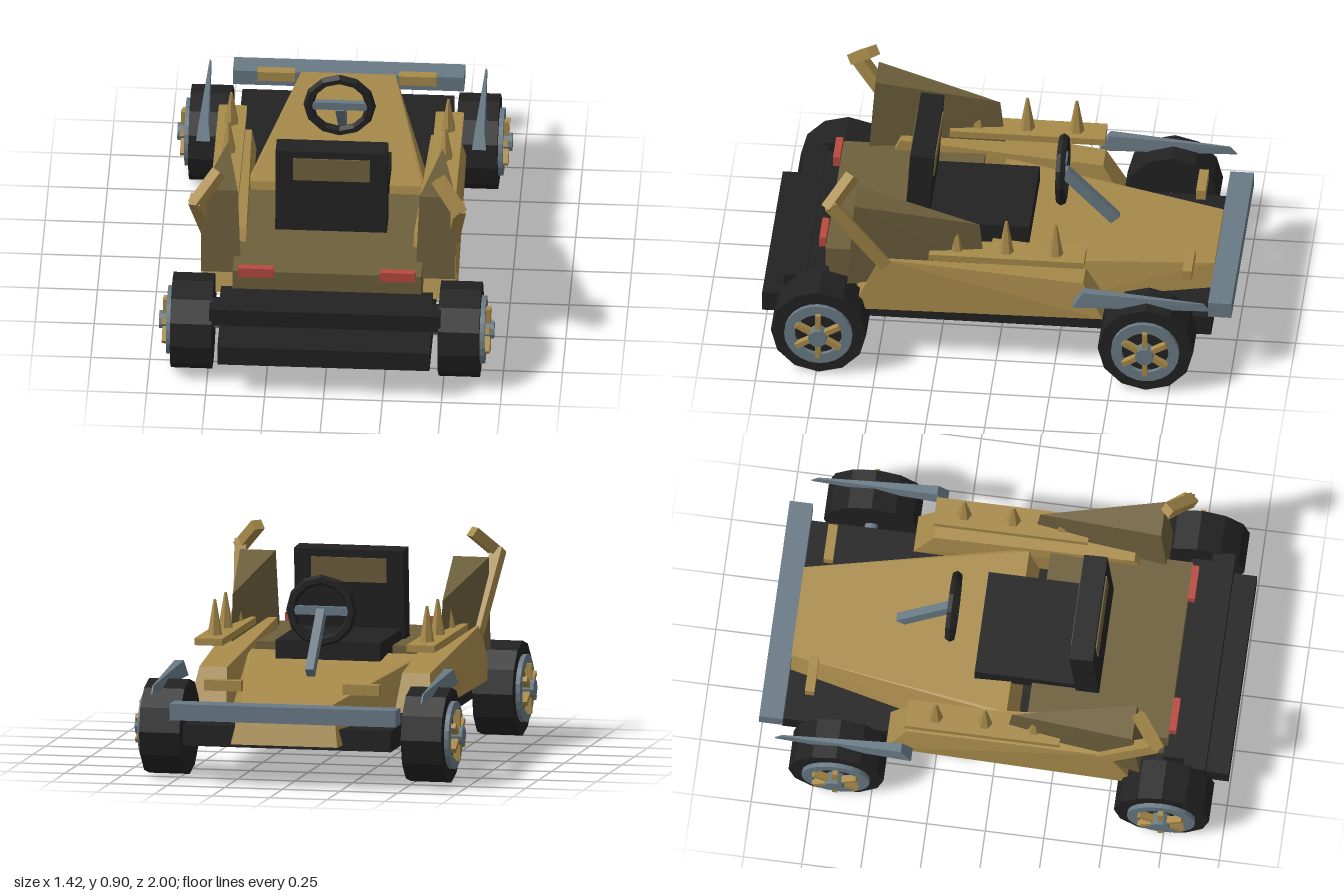
import * as THREE from 'three';
import { ConvexGeometry } from 'three/addons/geometries/ConvexGeometry.js';

function mat(name, color) {
  const m = new THREE.MeshStandardMaterial({ color, flatShading: true });
  m.name = name;
  return m;
}

export function createModel() {
  const gold = mat('gold', 0xa88b4b);
  const darkGold = mat('dark gold', 0x6e603d);
  const black = mat('black', 0x222222);
  const steel = mat('steel', 0x697a85);
  const red = mat('red', 0xb84a40);

  const kart = new THREE.Group();
  kart.name = 'kart';

  const add = (name, geo, material, parent = kart) => {
    const mesh = new THREE.Mesh(geo, material);
    mesh.name = name;
    parent.add(mesh);
    return mesh;
  };
  // Box given by its limits on each axis
  const box = (name, material, [x0, x1], [y0, y1], [z0, z1], parent) => {
    const mesh = add(name, new THREE.BoxGeometry(x1 - x0, y1 - y0, z1 - z0), material, parent);
    mesh.position.set((x0 + x1) / 2, (y0 + y1) / 2, (z0 + z1) / 2);
    return mesh;
  };
  // Box on both sides
  const boxPair = (name, material, [x0, x1], y, z) => {
    box(name, material, [x0, x1], y, z);
    box(name, material, [-x1, -x0], y, z);
  };
  // Faceted solid from its corners
  const solid = (name, material, points, side = 1) =>
    add(name, new ConvexGeometry(points.map(([x, y, z]) => new THREE.Vector3(x * side, y, z))), material);
  // Straight bar between two points
  const bar = (name, material, a, b, w, h, side = 1) => {
    const p = new THREE.Vector3(a[0] * side, a[1], a[2]);
    const q = new THREE.Vector3(b[0] * side, b[1], b[2]);
    const mesh = add(name, new THREE.BoxGeometry(w, h, p.distanceTo(q)), material);
    mesh.position.copy(p).lerp(q, 0.5);
    mesh.lookAt(q);
    return mesh;
  };

  // Chassis, bumpers and rear deck
  box('chassis', black, [-0.45, 0.45], [0.16, 0.25], [-0.91, 1]);
  box('rearBumper', black, [-0.49, 0.49], [0.295, 0.375], [0.81, 0.905]);
  box('rearBumperMount', black, [-0.45, 0.45], [0.25, 0.37], [0.72, 0.82]);
  box('frontBumper', steel, [-0.49, 0.49], [0.28, 0.35], [-1, -0.9]);
  box('rearDeck', darkGold, [-0.4, 0.4], [0.27, 0.46], [0.13, 0.735]);
  boxPair('tailLight', red, [0.225, 0.375], [0.45, 0.495], [0.735, 0.765]);
  boxPair('headLight', gold, [0.22, 0.38], [0.385, 0.43], [-0.82, -0.78]);

  // Hood with a sloped nose
  const hood = [];
  for (const s of [-1, 1]) {
    hood.push([0.2 * s, 0.355, -0.9], [0.23 * s, 0.18, -0.965], [0.24 * s, 0.18, -0.9],
      [0.365 * s, 0.44, 0.04], [0.37 * s, 0.25, 0.085], [0.37 * s, 0.25, -0.3], [0.365 * s, 0.43, -0.03]);
  }
  solid('hood', gold, hood);

  for (const s of [1, -1]) {
    // Side pod
    solid('sidePod', gold, [
      [0.365, 0.26, -0.455], [0.525, 0.26, -0.455], [0.38, 0.42, -0.37], [0.5, 0.42, -0.37],
      [0.355, 0.26, 0.61], [0.545, 0.26, 0.61], [0.355, 0.51, 0.49], [0.53, 0.51, 0.49],
    ], s);
    // Wedge shaped rear fin
    solid('rearFin', darkGold, [
      [0.455, 0.665, 0.075], [0.385, 0.78, 0.6], [0.54, 0.78, 0.6],
      [0.455, 0.44, 0.05], [0.37, 0.38, 0.63], [0.54, 0.38, 0.63],
    ], s);
    // Bent horn
    bar('hornLower', gold, [0.515, 0.48, 0.47], [0.56, 0.8, 0.7], 0.05, 0.055, s);
    bar('hornUpper', gold, [0.565, 0.775, 0.71], [0.465, 0.885, 0.615], 0.05, 0.045, s);
    // Blade over the front wheel
    solid('fenderBlade', steel, [
      [0.555, 0.375, -0.335], [0.615, 0.375, -0.335], [0.565, 0.445, -0.38], [0.605, 0.445, -0.38],
      [0.582, 0.41, -0.89], [0.588, 0.41, -0.89], [0.582, 0.375, -0.92], [0.588, 0.375, -0.92],
    ], s);
    // Rail with spikes
    const [r0, r1] = s > 0 ? [0.4, 0.52] : [-0.52, -0.4];
    box('spikeRail', gold, [r0, r1], [0.51, 0.54], [-0.375, 0.285]);
    for (const [z, tip] of [[-0.25, 0.69], [-0.04, 0.69], [0.17, 0.645]]) {
      const spike = add('spike', new THREE.CylinderGeometry(0.006, 0.034, tip - 0.53, 6), gold);
      spike.position.set(0.46 * s, (tip + 0.53) / 2, z);
    }
  }

  // Seat with a panel through the backrest
  box('seatBase', black, [-0.227, 0.227], [0.42, 0.505], [-0.115, 0.34]);
  const backrest = new THREE.Group();
  backrest.name = 'backrest';
  backrest.position.set(0, 0.64, 0.355);
  backrest.rotation.x = -0.07;
  kart.add(backrest);
  box('seatBack', black, [-0.237, 0.237], [-0.2, 0.203], [-0.05, 0.05], backrest);
  box('seatPanel', darkGold, [-0.163, 0.163], [0.065, 0.17], [-0.056, 0.056], backrest);

  // Steering wheel and column
  const steering = new THREE.Group();
  steering.name = 'steeringWheel';
  steering.position.set(0, 0.655, -0.235);
  kart.add(steering);
  add('steeringRim', new THREE.TorusGeometry(0.132, 0.022, 6, 12), black, steering);
  box('steeringSpoke', steel, [-0.12, 0.12], [-0.018, 0.018], [-0.012, 0.012], steering);
  bar('steeringColumn', steel, [0, 0.65, -0.24], [0, 0.42, -0.46], 0.036, 0.05);

  // Wheels: built facing +x, turned round for the other side
  const ring = new THREE.Shape().absarc(0, 0, 0.145, 0, Math.PI * 2);
  ring.holes.push(new THREE.Path().absarc(0, 0, 0.1, 0, Math.PI * 2, true));
  const rimGeo = new THREE.ExtrudeGeometry(ring, { depth: 0.025, bevelEnabled: false, curveSegments: 12 });
  rimGeo.rotateY(Math.PI / 2);
  const tireGeo = new THREE.CylinderGeometry(0.203, 0.203, 0.175, 12).rotateZ(Math.PI / 2);
  const hubGeo = new THREE.CylinderGeometry(0.04, 0.04, 0.06, 10).rotateZ(Math.PI / 2);
  for (const z of [-0.65, 0.74]) {
    const axle = add('axle', new THREE.CylinderGeometry(0.028, 0.028, 1, 8), steel);
    axle.rotation.z = Math.PI / 2;
    axle.position.set(0, 0.203, z);
    for (const s of [1, -1]) {
      const wheel = new THREE.Group();
      wheel.name = 'wheel';
      wheel.position.set(0, 0.203, z);
      if (s < 0) wheel.rotation.y = Math.PI;
      kart.add(wheel);
      add('tire', tireGeo, black, wheel).position.x = 0.5675;
      add('rim', rimGeo, steel, wheel).position.x = 0.65;
      add('hub', hubGeo, steel, wheel).position.x = 0.68;
      for (let i = 0; i < 6; i++) {
        const a = (i * Math.PI) / 3;
        const spoke = add('wheelSpoke', new THREE.BoxGeometry(0.03, 0.075, 0.022), gold, wheel);
        spoke.position.set(0.68, Math.cos(a) * 0.07, Math.sin(a) * 0.07);
        spoke.rotation.x = a;
      }
    }
  }
  return kart;
}
